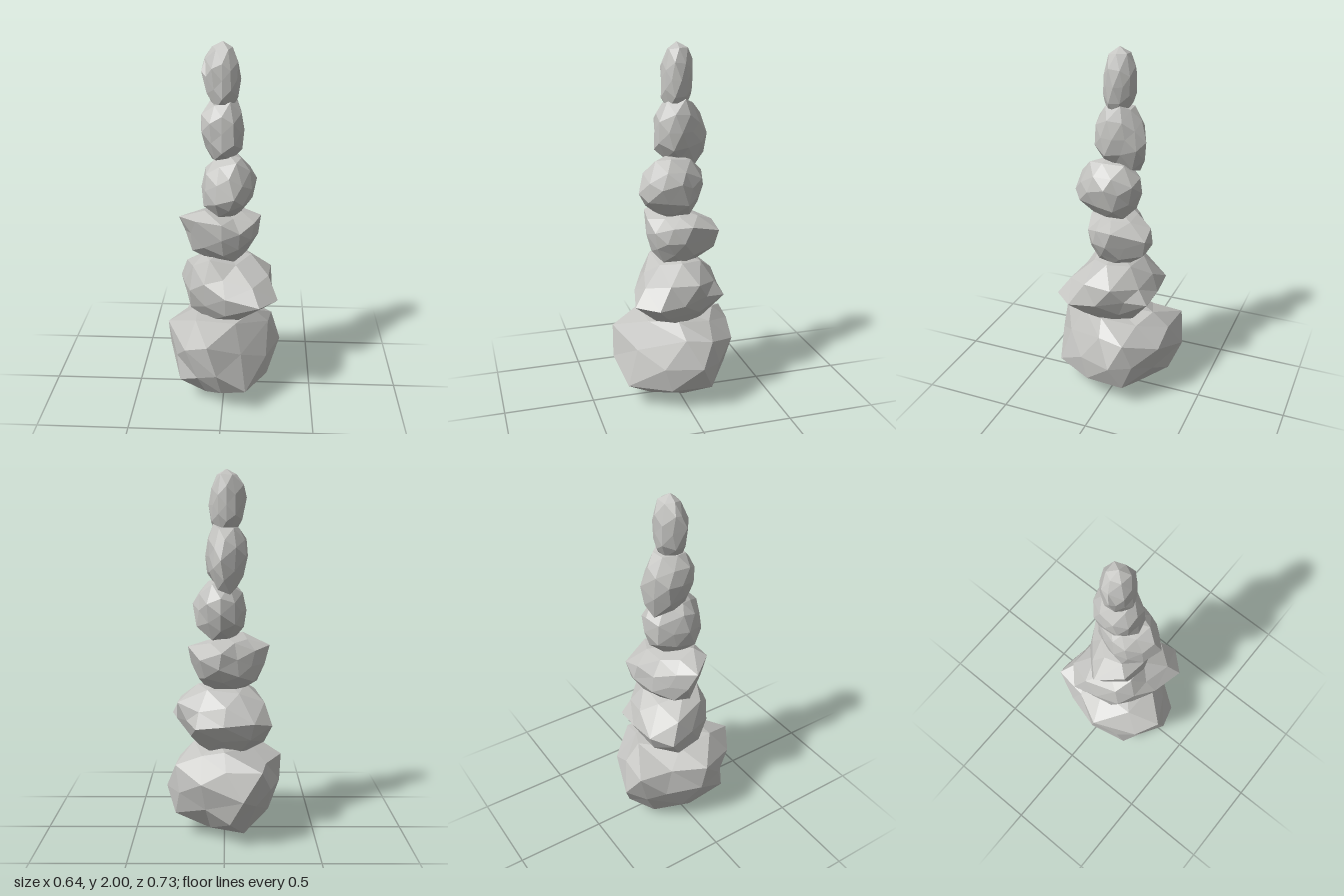
import * as THREE from 'three';
import { mergeVertices } from 'three/addons/utils/BufferGeometryUtils.js';

// Each stone: centre, radii and the few corners that stick out of its rough body
const STONES = [
  { name: 'baseStone', c: [0, 0.26, 0], r: [0.29, 0.245, 0.32], corners: [
    [-0.32, 0.42, 0.05], [-0.08, 0.42, 0.36], [0.32, 0.27, -0.06], [0.25, 0.42, 0.02],
    [-0.1, 0.27, -0.36], [-0.2, 0.42, -0.32], [-0.24, 0.14, 0.22], [0.13, 0.13, 0.32], [-0.03, 0, 0],
    [0.17, 0.5, 0.04], [0, 0.5, -0.21]] },
  { name: 'secondStone', c: [0, 0.64, 0.01], r: [0.22, 0.21, 0.22], corners: [
    [-0.26, 0.63, -0.14], [0.3, 0.63, 0.18], [0.2, 0.63, 0.29], [0.26, 0.74, -0.05],
    [0.155, 0.63, -0.225], [-0.17, 0.79, 0.1], [-0.16, 0.66, -0.23]] },
  { name: 'thirdStone', c: [0, 0.95, 0], r: [0.17, 0.15, 0.175], corners: [
    [-0.25, 1.05, 0.02], [0.2, 1.05, -0.03], [0.03, 0.95, -0.21], [-0.15, 1.07, 0.15],
    [-0.18, 0.85, 0.02], [0.13, 1, -0.2]] },
  { name: 'fourthStone', c: [0.02, 1.235, 0.04], r: [0.145, 0.17, 0.17], corners: [
    [0.06, 1.22, 0.23], [0.175, 1.28, 0.02], [-0.1, 1.34, 0.03], [0.09, 1.4, 0.06], [0.02, 1.32, -0.13]] },
  { name: 'fifthStone', c: [-0.01, 1.54, 0], r: [0.12, 0.175, 0.135], corners: [
    [-0.12, 1.63, 0.05], [0.06, 1.71, -0.03], [0.02, 1.52, -0.16], [-0.03, 1.34, -0.11]] },
  { name: 'tipStone', c: [-0.01, 1.81, 0], r: [0.095, 0.17, 0.095], corners: [
    [-0.01, 2, 0], [-0.1, 1.91, 0.01], [-0.12, 1.85, 0.03]] },
];

// Small seeded generator for the rough surface
function seeded(seed) {
  let s = seed;
  return () => (s = (s * 16807) % 2147483647) / 2147483647;
}

function stoneGeometry({ c, r, corners }, seed) {
  const rand = seeded(seed);
  const ball = new THREE.IcosahedronGeometry(1, 1);
  ball.deleteAttribute('normal');
  ball.deleteAttribute('uv');
  const geo = mergeVertices(ball, 1e-4);
  const pos = geo.attributes.position;
  const centre = new THREE.Vector3(...c), radii = new THREE.Vector3(...r);
  const dirs = [], points = [];

  // Rough body with full shoulders
  for (let i = 0; i < pos.count; i++) {
    const d = new THREE.Vector3().fromBufferAttribute(pos, i).normalize();
    const shoulder = (Math.hypot(d.x, d.z) ** 2.6 + Math.abs(d.y) ** 2.6) ** (-1 / 2.6);
    dirs.push(d);
    points.push(d.clone().multiplyScalar(shoulder * (0.88 + rand() * 0.16)).multiply(radii).add(centre));
  }
  // Pull the nearest free vertex out to each corner, its neighbours following part of the way
  const used = new Set();
  for (const corner of corners) {
    const target = new THREE.Vector3(...corner);
    const aim = target.clone().sub(centre).divide(radii).normalize();
    let best = -1, score = -2;
    dirs.forEach((d, i) => {
      const dot = d.dot(aim);
      if (!used.has(i) && dot > score) { best = i; score = dot; }
    });
    used.add(best);
    const pull = target.clone().sub(points[best]).multiplyScalar(0.3);
    dirs.forEach((d, i) => {
      if (!used.has(i) && d.dot(dirs[best]) > 0.8) points[i].add(pull);
    });
    points[best].copy(target);
  }
  points.forEach((p, i) => pos.setXYZ(i, p.x, Math.max(p.y, 0), p.z));
  const flat = geo.toNonIndexed();
  flat.computeVertexNormals();
  return flat;
}

export function createModel() {
  const group = new THREE.Group();
  group.name = 'stoneSpire';
  const stone = new THREE.MeshStandardMaterial({ color: 0xc4c4c1, flatShading: true });
  stone.name = 'grey stone';
  STONES.forEach((spec, i) => {
    const mesh = new THREE.Mesh(stoneGeometry(spec, 911 + i * 7717), stone);
    mesh.name = spec.name;
    group.add(mesh);
  });
  return group;
}
